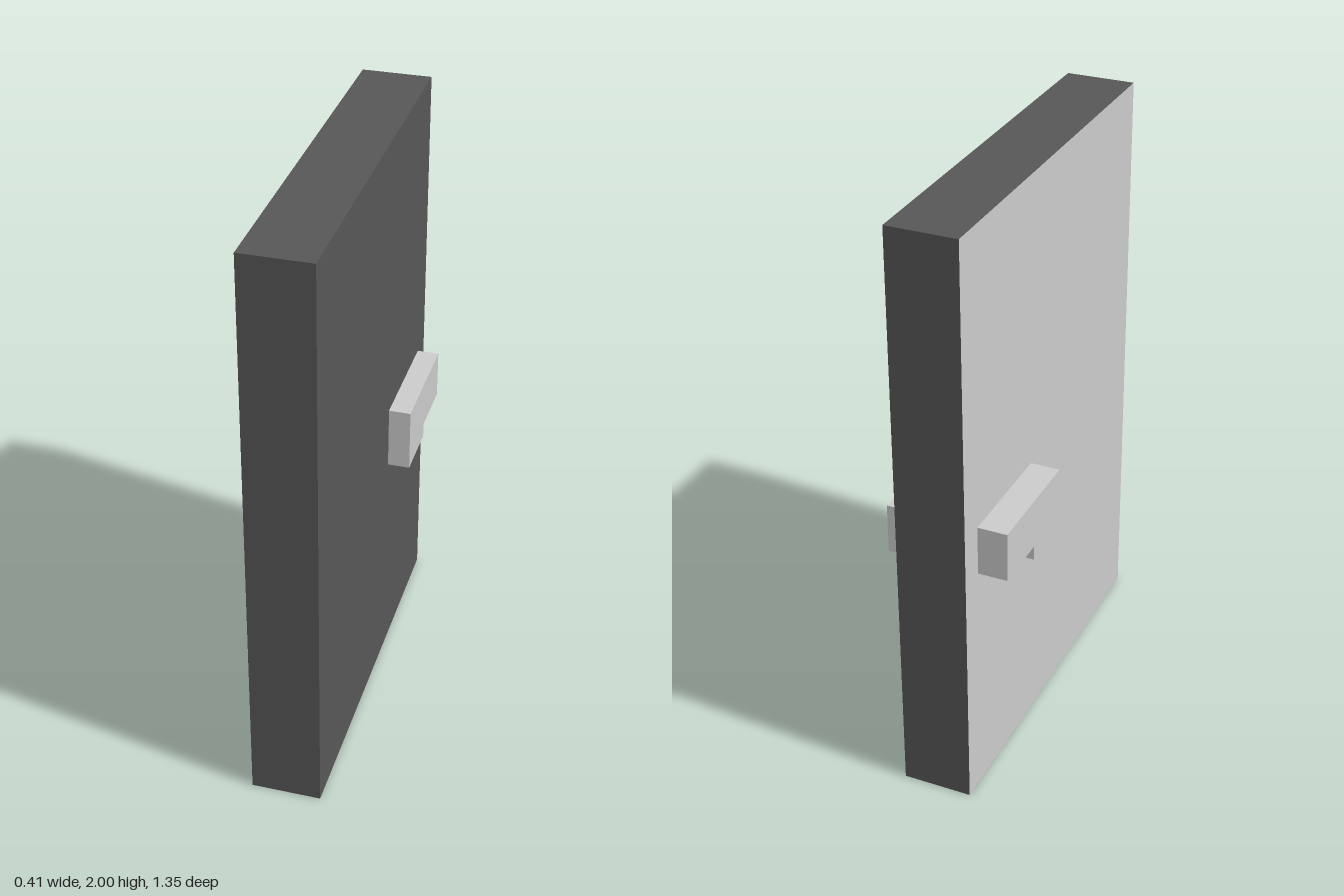
import * as THREE from 'three';

const X0 = -0.105, X1 = 0.13, Z = 0.675, H = 2;

export function createModel() {
  const model = new THREE.Group();
  const dark = new THREE.MeshStandardMaterial({ color: 0x575757, side: THREE.DoubleSide });
  const light = new THREE.MeshStandardMaterial({ color: 0xcccccc, side: THREE.DoubleSide });
  const width = X1 - X0, midX = (X0 + X1) / 2;

  // One flat sheet of the hollow door, turned to face outward
  function sheet(name, w, h, position, rotX, rotY, material) {
    const mesh = new THREE.Mesh(new THREE.PlaneGeometry(w, h), material);
    mesh.name = name;
    mesh.position.set(...position);
    mesh.rotation.set(rotX, rotY, 0);
    model.add(mesh);
  }

  // Door leaf: thin shell, open at the bottom, with one lighter side
  sheet('leftDoorFace', 2 * Z, H, [X1, H / 2, 0], 0, Math.PI / 2, dark);
  sheet('rightDoorFace', 2 * Z, H, [X0, H / 2, 0], 0, -Math.PI / 2, light);
  sheet('frontDoorEdge', width, H, [midX, H / 2, Z], 0, 0, dark);
  sheet('backDoorEdge', width, H, [midX, H / 2, -Z], 0, Math.PI, dark);
  sheet('topDoorEdge', width, 2 * Z, [midX, H, 0], -Math.PI / 2, 0, dark);

  // Handle: stepped profile (-z, y) passing through the door to both sides
  const profile = new THREE.Shape([
    [0.175, 0.78], [0.38, 0.78], [0.38, 0.83], [0.585, 0.83], [0.585, 1], [0.175, 1],
  ].map(([z, y]) => new THREE.Vector2(z, y)));
  const handleGeometry = new THREE.ExtrudeGeometry(profile, { depth: 0.41, bevelEnabled: false });
  handleGeometry.translate(0, 0, -0.205).rotateY(Math.PI / 2);
  const handle = new THREE.Mesh(handleGeometry, new THREE.MeshStandardMaterial({ color: 0xcccccc }));
  handle.name = 'handle';
  model.add(handle);

  return model;
}
